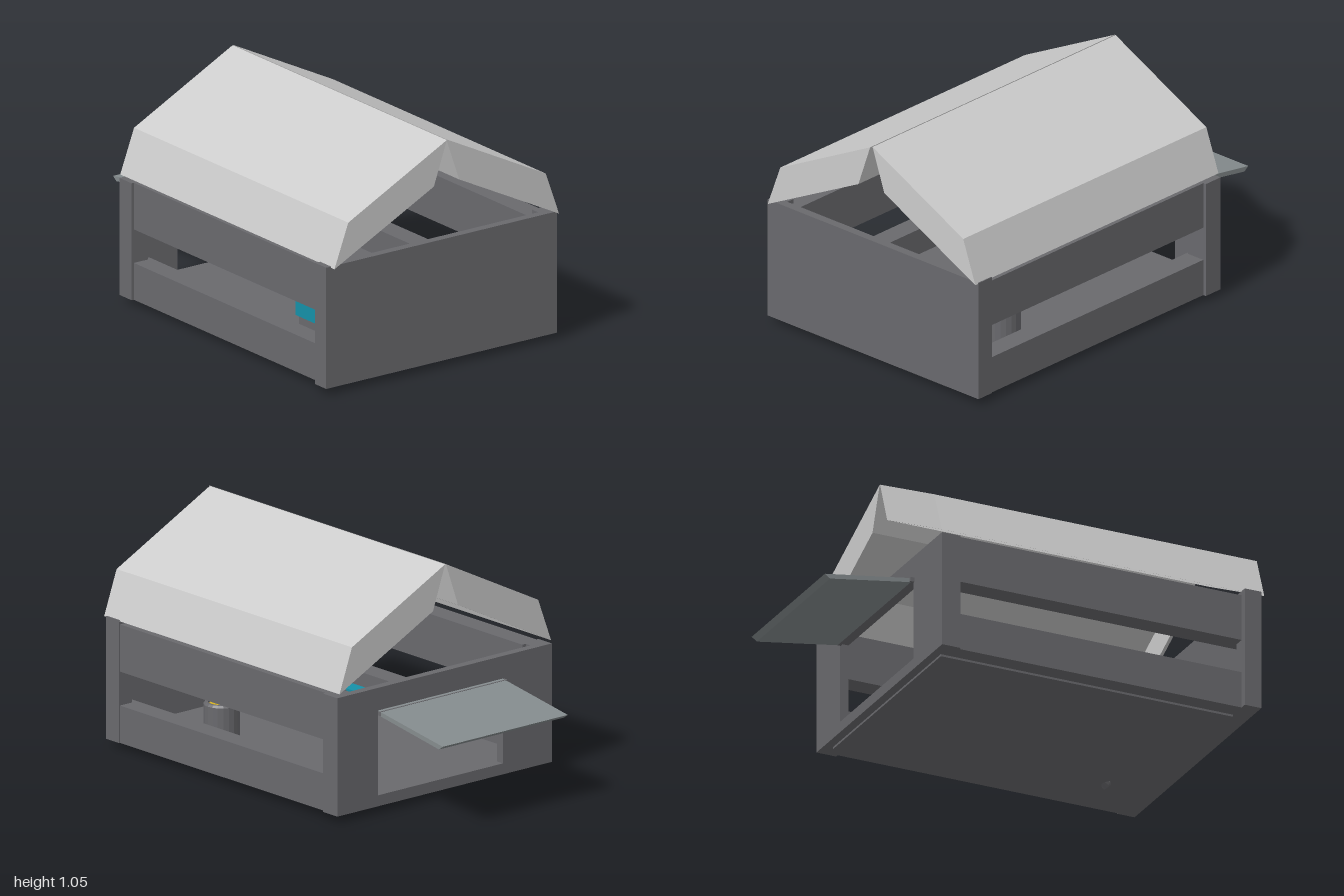
import * as THREE from 'three';

const mat = (color) => new THREE.MeshStandardMaterial({ color, flatShading: true });

export function createModel() {
  const model = new THREE.Group();
  const frame = mat(0x69696d), shell = mat(0xcccccc), flapMat = mat(0x858c8e);
  const teal = mat(0x1591a8), yellow = mat(0xd8b420);

  const add = (name, geo, material) => {
    const m = new THREE.Mesh(geo, material);
    m.name = name;
    model.add(m);
    return m;
  };
  // Box given by its lower and upper corner
  const box = (name, x0, x1, y0, y1, z0, z1, material = frame) => {
    const g = new THREE.BoxGeometry(x1 - x0, y1 - y0, z1 - z0);
    return add(name, g.translate((x0 + x1) / 2, (y0 + y1) / 2, (z0 + z1) / 2), material);
  };
  // Extrudes a [z, y] outline from x0 to x1
  const prism = (name, pts, x0, x1, material) => {
    const shape = new THREE.Shape(pts.map((p) => new THREE.Vector2(p[0], p[1])));
    const g = new THREE.ExtrudeGeometry(shape, { depth: x1 - x0, bevelEnabled: false });
    return add(name, g.rotateY(-Math.PI / 2).translate(x1, 0, 0), material);
  };

  // Floor and underside plate
  box('floor', -0.55, 0.95, 0.03, 0.08, -0.6, 0.58);
  box('bottomPlate', -0.53, 0.89, 0.02, 0.03, -0.555, 0.515);

  // Solid right wall and its corner posts
  box('endWall', 0.93, 0.97, 0.03, 0.59, -0.55, 0.55);
  box('frontEndPost', 0.89, 0.97, 0.03, 0.59, 0.55, 0.63);
  box('backEndPost', 0.885, 0.97, 0.03, 0.59, -0.625, -0.55);

  // Posts at the flap end
  box('frontFlapPost', -0.57, -0.48, 0.03, 0.57, 0.52, 0.61);
  box('backFlapPost', -0.57, -0.475, 0.03, 0.57, -0.635, -0.53);

  // Long beams above and below the front and back openings
  for (const [side, z0, z1] of [['front', 0.5, 0.598], ['back', -0.62, -0.52]]) {
    box(side + 'LowerBeam', -0.5, 0.93, 0.03, 0.2, z0, z1);
    box(side + 'UpperBeam', -0.5, 0.93, 0.355, 0.57, z0, z1);
  }

  // Flap end wall around its doorway
  box('flapWallFront', -0.57, -0.53, 0.03, 0.57, 0.325, 0.53);
  box('flapWallBack', -0.57, -0.53, 0.03, 0.57, -0.54, -0.4);
  box('flapWallLintel', -0.57, -0.53, 0.455, 0.57, -0.4, 0.325);
  box('flapWallSill', -0.57, -0.53, 0.03, 0.08, -0.4, 0.325);

  // Open flap and hinge strip
  box('hingeStrip', -0.59, -0.568, 0.445, 0.465, -0.4, 0.335);
  const flapShape = new THREE.Shape([
    [-0.57, 0.447], [-0.57, 0.467], [-0.6, 0.462], [-1, 0.4], [-0.975, 0.382],
  ].map((p) => new THREE.Vector2(...p)));
  const flap = new THREE.ExtrudeGeometry(flapShape, { depth: 0.725, bevelEnabled: false });
  add('flap', flap.translate(0, 0, -0.4), flapMat);

  // Tilted lid: open-bottomed shell with a U-shaped section and closed ends
  const lid = (name, corners, x0, x1) => {
    const t = 0.015;
    const [a, b, c, d] = corners.map((p) => new THREE.Vector2(...p));
    const u = d.clone().sub(a).setLength(t);
    const v = b.clone().sub(a).setLength(t);
    const inner = [d.clone().sub(u), c.clone().sub(u).sub(v), b.clone().add(u).sub(v), a.clone().add(u)];
    prism(name + 'Shell', [a, b, c, d, ...inner].map((p) => [p.x, p.y]), x0 + t, x1 - t, shell);
    prism(name + 'EndLeft', corners, x1 - t, x1, shell);
    prism(name + 'EndRight', corners, x0, x0 + t, shell);
  };
  lid('frontLid', [[0.605, 0.585], [0.53, 0.785], [-0.005, 1.055], [0.065, 0.855]], -0.57, 0.997);
  lid('backLid', [[-0.622, 0.585], [-0.55, 0.785], [-0.01, 1.055], [-0.08, 0.855]], -0.57, 0.987);

  // Round cup with a yellow core
  const cup = [[0, 0.08], [0.08, 0.08], [0.08, 0.24], [0.073, 0.25], [0.06, 0.25], [0.06, 0.2], [0, 0.2]];
  const cupGeo = new THREE.LatheGeometry(cup.map((p) => new THREE.Vector2(...p)), 20);
  add('cup', cupGeo, frame).position.set(0.52, 0, -0.35);
  add('cupCore', new THREE.CylinderGeometry(0.057, 0.057, 0.04, 16), yellow).position.set(0.52, 0.22, -0.35);

  // Teal control block with a small knob beside it
  box('controlBlock', 0.355, 0.51, 0.14, 0.21, 0.27, 0.34, teal);
  box('controlBase', 0.38, 0.56, 0.08, 0.14, 0.25, 0.34);
  add('knob', new THREE.CylinderGeometry(0.035, 0.035, 0.06, 16).rotateX(Math.PI / 2), frame)
    .position.set(0.55, 0.165, 0.3);

  // Wedge-edged wheel peeking out of the underside
  const wheel = new THREE.LatheGeometry(
    [[0, -0.05], [0.05, 0], [0, 0.05]].map((p) => new THREE.Vector2(...p)), 24);
  add('underWheel', wheel.rotateZ(Math.PI / 2), frame).position.set(0.7, 0.05, -0.355);

  return model;
}
